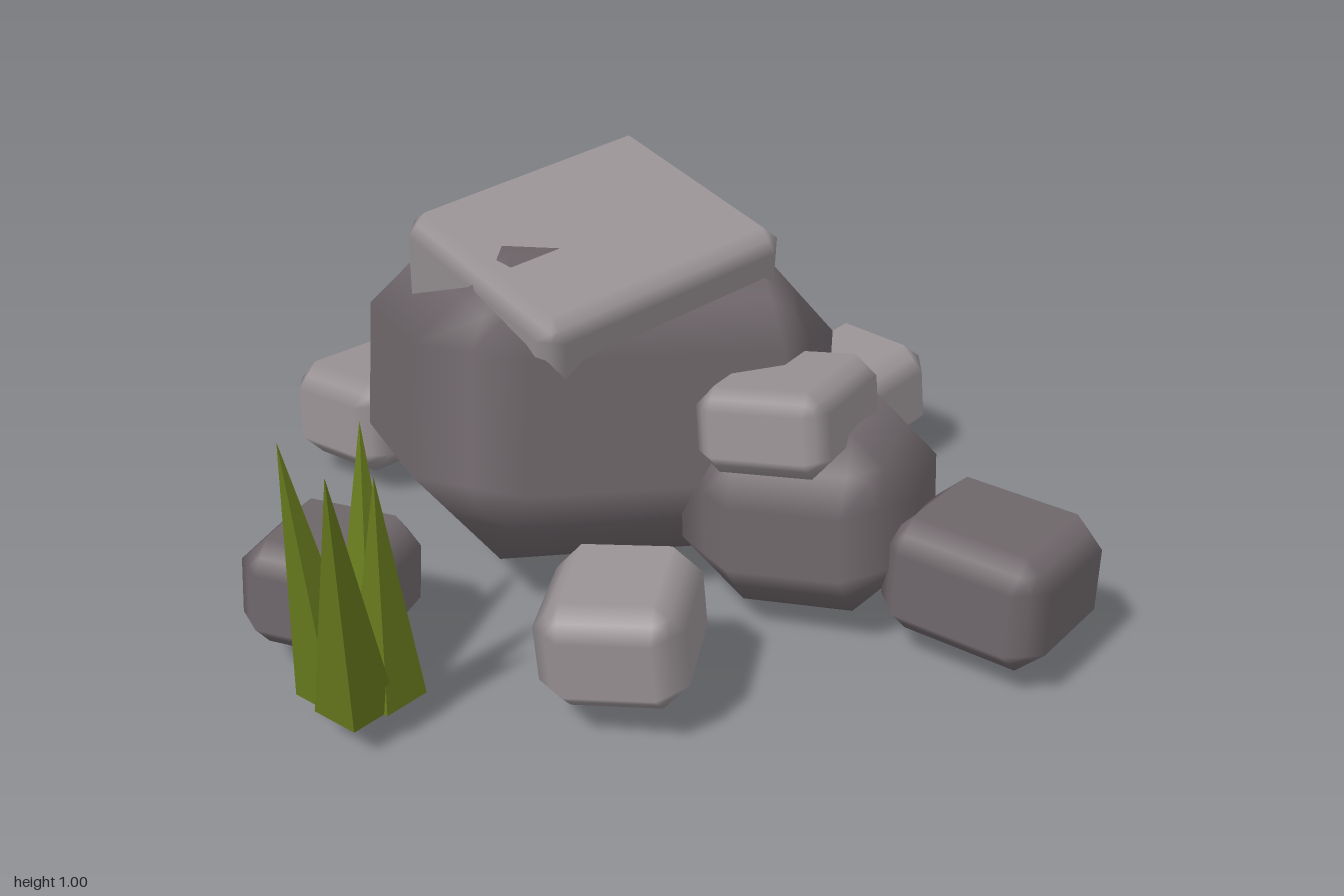
import * as THREE from 'three';
import { RoundedBoxGeometry } from 'three/addons/geometries/RoundedBoxGeometry.js';

const dark = new THREE.MeshStandardMaterial({ color: 0x6e666a });
const light = new THREE.MeshStandardMaterial({ color: 0x989194 });
const green = new THREE.MeshStandardMaterial({ color: 0x64761c, flatShading: true });

// A chamfered block; rotation is applied as roll (z), yaw (y), then pitch (x)
function rock(name, material, size, bevel, position, rotation) {
  const geo = new RoundedBoxGeometry(...size, 1, bevel);
  const p = geo.attributes.position, n = new THREE.Vector3(), v = new THREE.Vector3();
  // Pull the rounded edges and corners in to straight chamfers
  for (let i = 0; i < p.count; i++) {
    n.fromBufferAttribute(geo.attributes.normal, i);
    v.fromBufferAttribute(p, i).addScaledVector(n, bevel * (1 / n.manhattanLength() - 1));
    p.setXYZ(i, v.x, v.y, v.z);
  }
  const mesh = new THREE.Mesh(geo, material);
  mesh.name = name;
  mesh.position.set(...position);
  mesh.rotation.set(...rotation);
  return mesh;
}

// A four-sided spike whose tip is sheared away from its base
function blade([bx, bz], [tx, ty, tz], radius) {
  const y0 = 0.07, h = ty - y0;
  const geo = new THREE.ConeGeometry(radius, h, 4);
  geo.translate(0, h / 2, 0);
  const p = geo.attributes.position;
  for (let i = 0; i < p.count; i++) {
    const t = p.getY(i) / h;
    p.setX(i, p.getX(i) + (tx - bx) * t);
    p.setZ(i, p.getZ(i) + (tz - bz) * t);
  }
  geo.computeVertexNormals();
  const mesh = new THREE.Mesh(geo, green);
  mesh.name = 'grassBlade';
  mesh.position.set(bx, y0, bz);
  return mesh;
}

export function createModel() {
  const model = new THREE.Group();
  model.name = 'rockPile';

  // Large boulder with its slab, smaller boulder with its slab
  model.add(
    rock('largeBoulder', dark, [1.066, 0.76, 0.96], 0.22, [-0.131, 0.445, -0.195], [-0.19, 0.235, -0.06]),
    rock('topSlab', light, [0.72, 0.28, 0.63], 0.05, [-0.14, 0.773, -0.13], [0.225, 0.567, 0]),
    rock('smallBoulder', dark, [0.57, 0.46, 0.57], 0.15, [0.36, 0.285, 0.19], [-0.05, -0.4, 0.03]),
    rock('smallSlab', light, [0.33, 0.21, 0.42], 0.05, [0.295, 0.53, 0.225], [-0.13, -0.54, 0.06])
  );

  // Loose stones around the boulders
  model.add(
    rock('backRightStone', light, [0.35, 0.27, 0.35], 0.065, [-0.72, 0.19, -0.63], [-0.08, 0.76, 0.02]),
    rock('backLeftStone', light, [0.37, 0.27, 0.34], 0.065, [0.6, 0.2, -0.555], [0, 0.66, 0.14]),
    rock('leftStone', dark, [0.43, 0.3, 0.39], 0.07, [0.743, 0.21, 0.465], [0, -0.75, -0.02]),
    rock('frontStone', light, [0.34, 0.27, 0.37], 0.065, [-0.135, 0.21, 0.615], [0.05, -0.28, 0.09]),
    rock('rightStone', dark, [0.35, 0.27, 0.35], 0.065, [-0.79, 0.195, 0.32], [-0.04, -0.41, -0.06])
  );

  // Tuft of grass: base centre (x, z), tip, radius
  const grass = new THREE.Group();
  grass.name = 'grassTuft';
  grass.add(
    blade([-0.73, 0.68], [-0.745, 0.72, 0.82], 0.09),
    blade([-0.78, 0.61], [-0.86, 0.69, 0.59], 0.085),
    blade([-0.66, 0.63], [-0.66, 0.62, 0.63], 0.085),
    blade([-0.7, 0.56], [-0.7, 0.62, 0.36], 0.085)
  );
  model.add(grass);
  return model;
}
